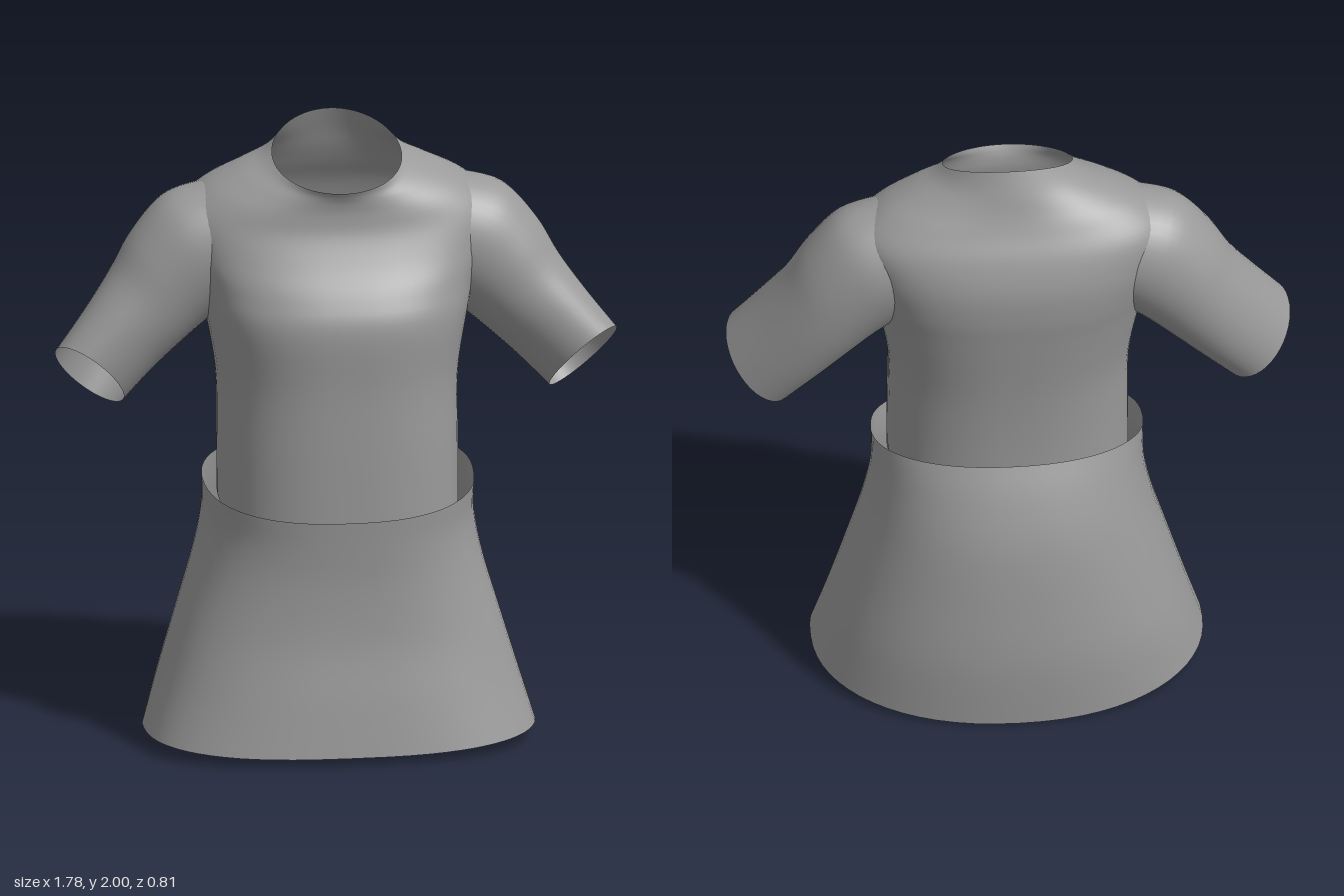
import * as THREE from 'three';

const cloth = new THREE.MeshStandardMaterial({ color: 0x9a9a9a, side: THREE.DoubleSide });
cloth.name = 'grey cloth';

// Catmull-Rom blend of a list of equal-length number rows, t in 0..1
function blend(rows, t) {
  const f = t * (rows.length - 1);
  const i = Math.min(Math.floor(f), rows.length - 2);
  const k = f - i;
  const at = (j) => rows[Math.max(0, Math.min(rows.length - 1, j))];
  return rows[i].map((b, n) => {
    const a = at(i - 1)[n], c = at(i + 1)[n], d = at(i + 2)[n];
    return b + 0.5 * k * (c - a + k * (2 * a - 5 * b + 4 * c - d + k * (3 * (b - c) + d - a)));
  });
}

// Open-ended tube through blended rings; point(row, angle) returns [x, y, z]
function loft(name, rows, point, flip, around = 64, sub = 5) {
  const steps = (rows.length - 1) * sub;
  const pos = [], idx = [];
  for (let j = 0; j <= steps; j++) {
    const row = blend(rows, j / steps);
    for (let i = 0; i < around; i++) pos.push(...point(row, (i / around) * Math.PI * 2));
  }
  for (let j = 0; j < steps; j++) {
    for (let i = 0; i < around; i++) {
      const a = j * around + i, b = j * around + (i + 1) % around;
      const c = a + around, d = b + around;
      if (flip) idx.push(a, c, b, b, c, d);
      else idx.push(a, b, c, b, d, c);
    }
  }
  const geo = new THREE.BufferGeometry();
  geo.setAttribute('position', new THREE.Float32BufferAttribute(pos, 3));
  geo.setIndex(idx);
  geo.computeVertexNormals();
  const mesh = new THREE.Mesh(geo, cloth);
  mesh.name = name;
  return mesh;
}

// Body ring: rounded section with its own front, side and back heights
// row: half width, front z, back z, centre z, front y, side y, back y, front and back squareness
function bodyPoint([w, front, back, cz, yF, yS, yB, nF, nB], angle) {
  const s = Math.sin(angle), c = Math.cos(angle);
  const n = c > 0 ? nF : nB;
  const px = Math.sign(s) * Math.abs(s) ** (2 / n);
  const pz = Math.sign(c) * Math.abs(c) ** (2 / n);
  const y = yS + pz * (yF - yB) / 2 + pz * pz * ((yF + yB) / 2 - yS);
  return [w * px, y, cz + pz * (c > 0 ? front - cz : cz - back)];
}

// Sleeve ring: centre plus two half axes
const sleevePoint = (side) => ([cx, cy, cz, ux, uy, uz, vx, vy, vz], angle) => {
  const c = Math.cos(angle), s = Math.sin(angle);
  return [side * (cx + ux * c + vx * s), cy + uy * c + vy * s, cz + uz * c + vz * s];
};

export function createModel() {
  const group = new THREE.Group();
  group.name = 'outfit';

  // Flared skirt, hem to waist
  group.add(loft('skirt', [
    [0.62, 0.41, -0.395, 0.06, 0.028, 0.05, 0.003, 2.7, 2.2],
    [0.572, 0.385, -0.405, 0.04, 0.2, 0.21, 0.22, 2.6, 2.2],
    [0.515, 0.357, -0.392, 0.03, 0.38, 0.4, 0.42, 2.6, 2.2],
    [0.457, 0.35, -0.365, 0.03, 0.56, 0.6, 0.64, 2.5, 2.2],
    [0.43, 0.357, -0.317, 0.03, 0.69, 0.75, 0.8, 2.4, 2.2],
    [0.43, 0.365, -0.265, 0.04, 0.79, 0.862, 0.915, 2.4, 2.2],
  ], bodyPoint));

  // Shirt torso, tucked bottom to raised neckline
  group.add(loft('shirtTorso', [
    [0.38, 0.337, -0.252, 0.03, 0.74, 0.8, 0.86, 2.5, 2.3],
    [0.38, 0.338, -0.257, 0.02, 0.98, 1.0, 1.02, 2.5, 2.3],
    [0.382, 0.338, -0.272, 0, 1.2, 1.2, 1.2, 2.5, 2.3],
    [0.415, 0.345, -0.3, -0.02, 1.4, 1.4, 1.4, 2.5, 2.4],
    [0.44, 0.31, -0.315, -0.03, 1.5, 1.51, 1.51, 2.4, 2.5],
    [0.475, 0.25, -0.315, -0.04, 1.59, 1.62, 1.62, 2.4, 2.5],
    [0.49, 0.203, -0.287, -0.05, 1.68, 1.73, 1.72, 2.4, 2.5],
    [0.42, 0.19, -0.245, -0.04, 1.745, 1.805, 1.8, 2.4, 2.4],
    [0.32, 0.192, -0.218, -0.02, 1.785, 1.857, 1.86, 2.2, 2.2],
    [0.245, 0.2, -0.195, 0, 1.81, 1.885, 1.925, 2, 2],
    [0.205, 0.21, -0.165, 0.02, 1.83, 1.905, 2, 2, 2],
  ], bodyPoint));

  // Short sleeves, shoulder to slanted cuff
  for (const side of [1, -1]) {
    group.add(loft(side > 0 ? 'leftSleeve' : 'rightSleeve', [
      [0.36, 1.625, -0.05, 0.05, 0.185, 0, 0, 0, 0.18],
      [0.44, 1.59, -0.05, 0.1, 0.178, 0, 0, 0, 0.182],
      [0.53, 1.505, -0.045, 0.113, 0.15, 0.005, -0.01, 0.01, 0.172],
      [0.605, 1.41, -0.035, 0.108, 0.125, 0.015, -0.02, 0.02, 0.158],
      [0.692, 1.31, -0.015, 0.103, 0.112, 0.03, -0.03, 0.035, 0.14],
      [0.785, 1.205, 0.01, 0.1, 0.105, 0.04, -0.04, 0.045, 0.12],
    ], sleevePoint(side), side > 0, 40));
  }
  return group;
}
